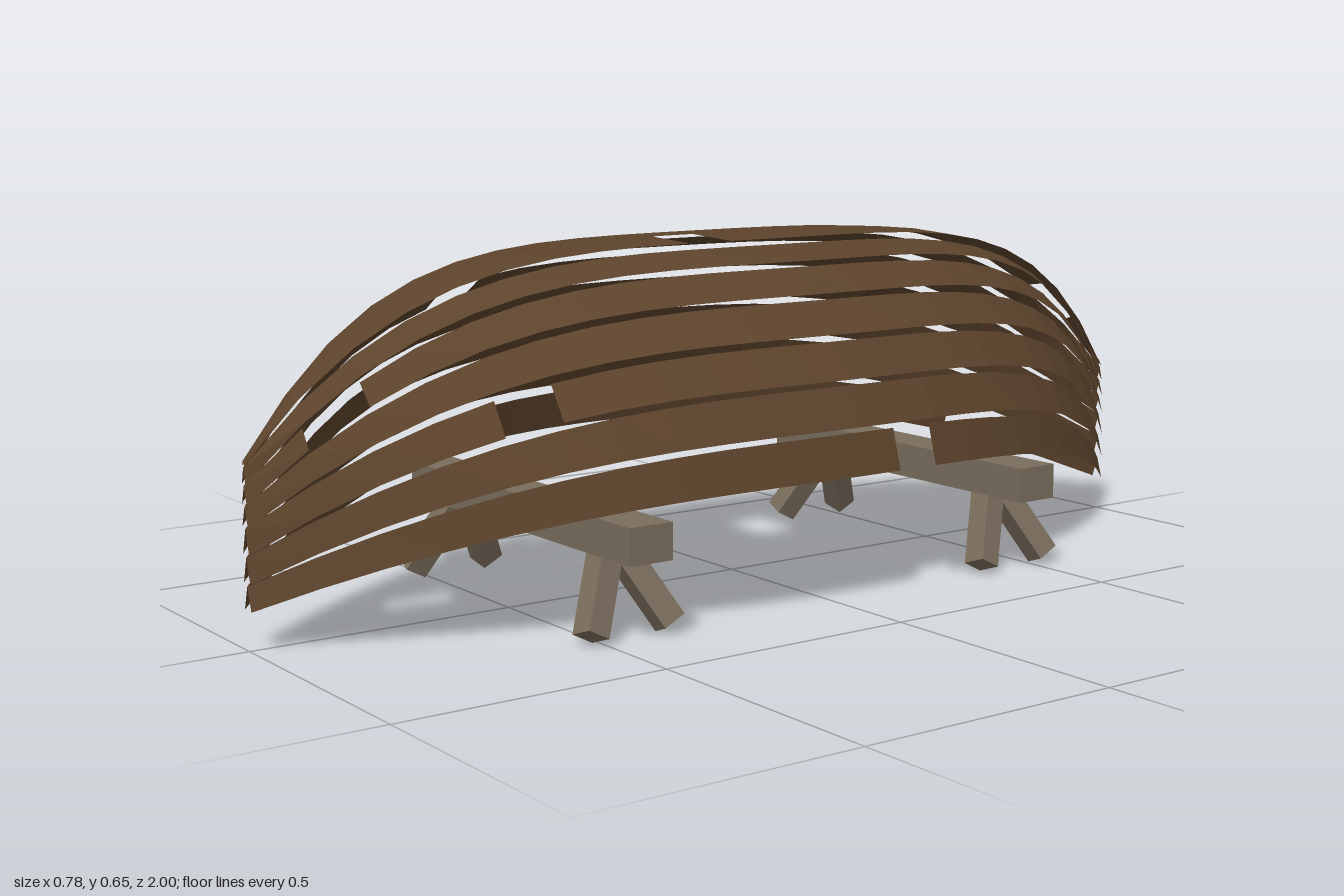
import * as THREE from 'three';

const SEGMENTS = 22;

// Strakes from the sheer up to the keel, as half sections:
// [lower x, lower y, upper x, upper y] amidships, then [lower y, upper y] at the stem
const STRAKES = [
  [0.392, 0.245, 0.370, 0.320, 0.070, 0.112],
  [0.385, 0.332, 0.345, 0.402, 0.117, 0.161],
  [0.361, 0.415, 0.310, 0.478, 0.166, 0.209],
  [0.325, 0.492, 0.255, 0.547, 0.213, 0.247],
  [0.272, 0.560, 0.190, 0.602, 0.251, 0.282],
  [0.205, 0.614, 0.115, 0.638, 0.285, 0.313],
  [0.122, 0.650, 0.000, 0.655, 0.316, 0.325],
];

// Missing board pieces, as strake:segment
const GAPS = {
  left: ['6:12', '2:17', '0:9', '4:20'],
  right: ['6:1', '4:16', '0:2'],
};

// One strake: two edges swept from stern to stem, skipping missing pieces
function strakeGeometry(index, side, gaps) {
  const [xl, yl, xu, yu, endL, endU] = STRAKES[index];
  const power = 2.8 + index * 0.2;
  const positions = [];
  const indices = [];
  for (let i = 0; i <= SEGMENTS; i++) {
    const z = -1 + (2 * i) / SEGMENTS;
    const t = Math.abs(z);
    const breadth = 1 - Math.pow(t, 2.2);
    const drop = Math.pow(t, power);
    positions.push(side * xl * (0.033 + 0.967 * breadth), yl + (endL - yl) * drop, z);
    positions.push(side * xu * breadth, yu + (endU - yu) * drop, z);
    if (i === SEGMENTS || gaps.includes(`${index}:${i}`)) continue;
    const a = 2 * i;
    if (side > 0) indices.push(a, a + 3, a + 1, a, a + 2, a + 3);
    else indices.push(a, a + 1, a + 3, a, a + 3, a + 2);
  }
  const geometry = new THREE.BufferGeometry();
  geometry.setAttribute('position', new THREE.Float32BufferAttribute(positions, 3));
  geometry.setIndex(indices);
  geometry.computeVertexNormals();
  return geometry;
}

// Trestle: a beam on two pairs of splayed legs
function createTrestle(material) {
  const trestle = new THREE.Group();
  const beam = new THREE.Mesh(new THREE.BoxGeometry(0.756, 0.066, 0.087), material);
  beam.name = 'trestleBeam';
  beam.position.y = 0.178;
  trestle.add(beam);
  const legGeometry = new THREE.BoxGeometry(0.045, 0.176, 0.045);
  for (const sx of [-1, 1]) {
    for (const sz of [-1, 1]) {
      const leg = new THREE.Mesh(legGeometry, material);
      leg.name = 'trestleLeg';
      leg.position.set(sx * 0.282, 0.091, sz * 0.043);
      leg.rotation.set(-sz * 0.48, 0, sx * 0.373);
      trestle.add(leg);
    }
  }
  return trestle;
}

export function createModel() {
  const model = new THREE.Group();
  model.name = 'upturnedBoat';

  const hullWood = new THREE.MeshStandardMaterial({ color: 0x5c432c, side: THREE.DoubleSide, flatShading: true });
  hullWood.name = 'hullWood';
  const trestleWood = new THREE.MeshStandardMaterial({ color: 0x7a6d5d, flatShading: true });
  trestleWood.name = 'trestleWood';

  // Overlapping hull boards on both sides
  const hull = new THREE.Group();
  hull.name = 'hull';
  for (const [name, side] of [['left', 1], ['right', -1]]) {
    STRAKES.forEach((_, i) => {
      const strake = new THREE.Mesh(strakeGeometry(i, side, GAPS[name]), hullWood);
      strake.name = `${name}Strake${i + 1}`;
      hull.add(strake);
    });
  }
  model.add(hull);

  // Trestles fore and aft
  for (const [name, z] of [['frontTrestle', 0.445], ['backTrestle', -0.445]]) {
    const trestle = createTrestle(trestleWood);
    trestle.name = name;
    trestle.position.z = z;
    model.add(trestle);
  }
  return model;
}
